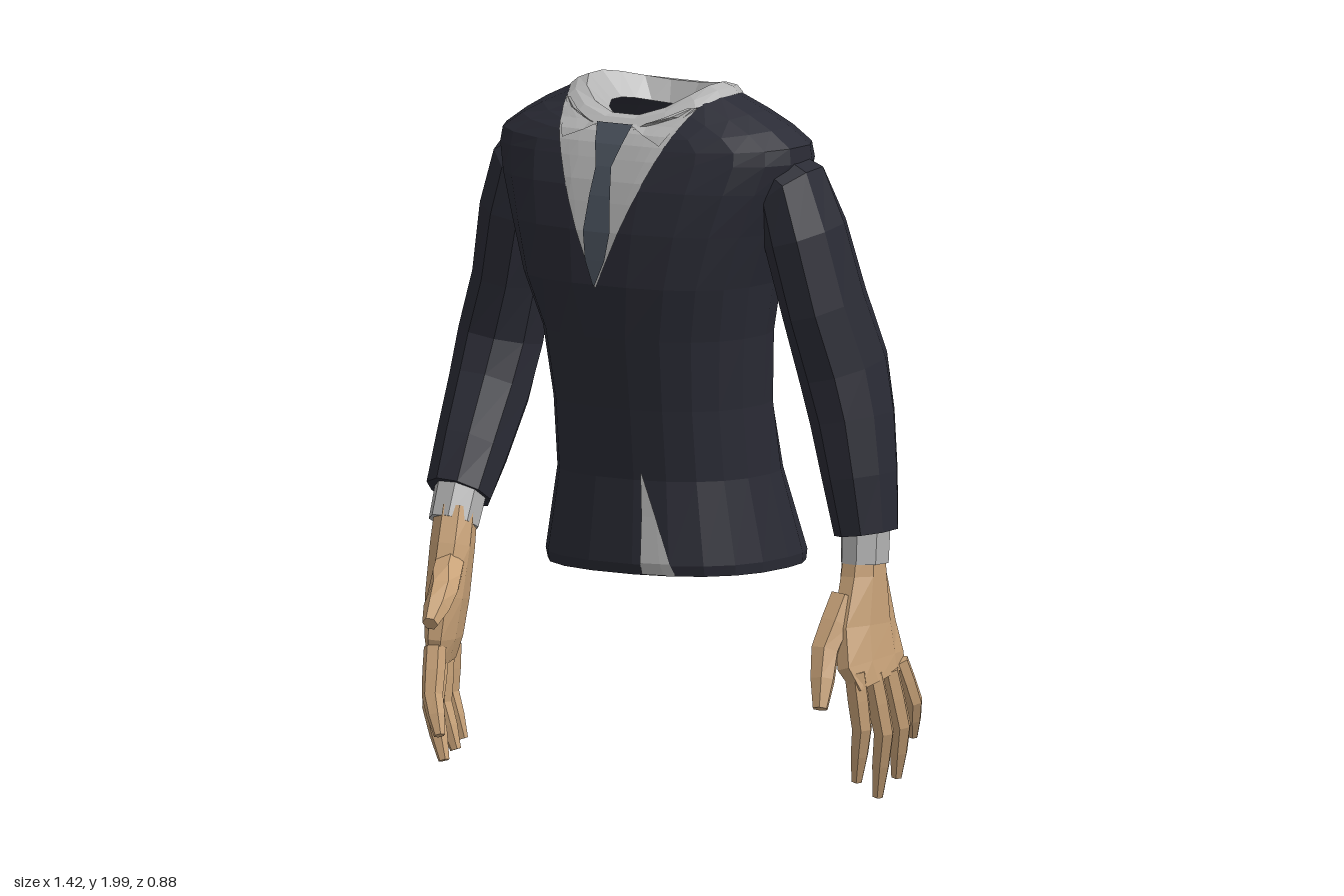
import * as THREE from 'three';

const V = (x, y, z) => new THREE.Vector3(x, y, z);
const mat = (name, color, side = THREE.FrontSide) =>
  Object.assign(new THREE.MeshStandardMaterial({ color, side }), { name });

// Faceted mesh from a list of triangle corners
function facets(name, material, corners) {
  const geometry = new THREE.BufferGeometry().setFromPoints(corners);
  geometry.computeVertexNormals();
  const mesh = new THREE.Mesh(geometry, material);
  mesh.name = name;
  return mesh;
}

// Skin closed rings of points, optionally closing both ends
function loft(name, material, rings, capped) {
  const out = [], n = rings[0].length;
  for (let i = 0; i < rings.length - 1; i++) {
    for (let j = 0; j < n; j++) {
      const k = (j + 1) % n, a = rings[i], b = rings[i + 1];
      out.push(a[j], a[k], b[k], a[j], b[k], b[j]);
    }
  }
  if (capped) {
    for (const [ring, flip] of [[rings[0], true], [rings[rings.length - 1], false]]) {
      const c = ring.reduce((s, p) => s.add(p), V(0, 0, 0)).divideScalar(n);
      ring.forEach((p, j) => {
        const q = ring[(j + 1) % n];
        out.push(c, flip ? q : p, flip ? p : q);
      });
    }
  }
  return facets(name, material, out);
}

// Limb along points [x, y, z, radius across, radius through]
function limb(name, material, pts, across, sides = 8) {
  const rings = pts.map((p, i) => {
    const a = pts[Math.max(i - 1, 0)], b = pts[Math.min(i + 1, pts.length - 1)];
    const t = V(b[0] - a[0], b[1] - a[1], b[2] - a[2]).normalize();
    const n = across.clone().addScaledVector(t, -across.dot(t)).normalize();
    const m = t.clone().cross(n);
    return Array.from({ length: sides }, (_, j) => {
      const w = ((j + 0.5) / sides) * Math.PI * 2;
      return V(p[0], p[1], p[2]).addScaledVector(n, Math.cos(w) * p[3]).addScaledVector(m, Math.sin(w) * p[4]);
    });
  });
  return loft(name, material, rings, true);
}

// Body ring: side height, half width, front z, back z, front dip, back dip, centre x, back skew
// The power squares off the front half, the back half stays round
function bodyRing([y, hw, zf, zb, dipF = 0, dipB = 0, cx = 0, skew = 0], sides, power) {
  return Array.from({ length: sides }, (_, j) => {
    const w = ((j + 0.5) / sides) * Math.PI * 2, c = Math.cos(w), s = -Math.sin(w);
    const front = s > 0, mid = (zf + zb) / 2;
    const soft = (v) => Math.sign(v) * Math.abs(v) ** (front ? power : 0.9);
    return V(cx + hw * soft(c) + (front ? 0 : skew * s * s),
      y - (front ? dipF : dipB) * s * s, mid + ((zf - zb) / 2) * soft(s));
  });
}

// Thin panel laid onto the front of other meshes, rows are [y, left x, right x]
function panel(name, material, targets, rows, lift, cols) {
  const ray = new THREE.Raycaster();
  const grid = rows.map(([y, x0, x1]) => Array.from({ length: cols + 1 }, (_, i) => {
    const x = x0 + ((x1 - x0) * i) / cols;
    ray.set(V(x, y, 2), V(0, 0, -1));
    const hit = ray.intersectObjects(targets)[0];
    return V(x, y, (hit && hit.point.z > -0.05 ? hit.point.z : 0.1) + lift);
  }));
  const out = [];
  for (let r = 0; r < grid.length - 1; r++) {
    for (let i = 0; i < cols; i++) {
      const a = grid[r], b = grid[r + 1];
      out.push(a[i], a[i + 1], b[i + 1], a[i], b[i + 1], b[i]);
    }
  }
  return facets(name, material, out);
}

export function createModel() {
  const model = new THREE.Group();
  model.name = 'suitedTorso';
  const jacket = mat('jacketNavy', 0x2a2b35, THREE.DoubleSide);
  const shirt = mat('shirtGrey', 0xb4b4b4, THREE.DoubleSide);
  const tie = mat('tieSlate', 0x4a525d, THREE.DoubleSide);
  const skin = mat('skinTan', 0xc9a379);

  // Jacket body, open at the neck
  const body = loft('jacketBody', jacket, [
    [0.635, 0.352, 0.165, -0.435, 0, 0, -0.01, 0.08],
    [0.665, 0.355, 0.175, -0.44, 0, 0, -0.01, 0.08],
    [0.9, 0.312, 0.16, -0.37, 0, 0, -0.005, 0.05],
    [1.1, 0.31, 0.185, -0.33, 0, 0, 0, 0.02],
    [1.3, 0.33, 0.215, -0.32],
    [1.45, 0.37, 0.23, -0.325, 0, 0, -0.01],
    [1.6, 0.42, 0.222, -0.335, 0, 0, -0.01],
    [1.72, 0.465, 0.2, -0.33, 0, 0, -0.01],
    [1.8, 0.49, 0.172, -0.315, 0, 0, -0.01],
    [1.845, 0.485, 0.16, -0.3, 0.015, 0, -0.01],
    [1.89, 0.42, 0.145, -0.285, 0.03, 0.01, -0.01],
    [1.93, 0.345, 0.13, -0.27, 0.055, 0.02, -0.015],
    [1.972, 0.25, 0.11, -0.25, 0.08, 0.03, -0.02],
  ].map((r) => bodyRing(r, 20, r[0] > 1.4 ? 0.75 : 0.85)), false);
  model.add(body);

  // Floor closing the hem, with the shirt tail showing
  const floor = bodyRing([0.66, 0.35, 0.17, -0.435, 0, 0, -0.01, 0.08], 20, 0.85);
  const centre = V(0, 0.66, -0.13);
  model.add(facets('hemFloor', jacket, floor.flatMap((p, j) => [centre, p, floor[(j + 1) % floor.length]])));
  for (const y of [0.665, 0.655]) {
    const q = [V(0.08, y, -0.05), V(0.02, y, 0.06), V(0.09, y, 0.15), V(0.18, y, 0.13), V(0.14, y, -0.03)];
    model.add(facets('shirtTail', shirt, [q[0], q[1], q[2], q[0], q[2], q[3], q[0], q[3], q[4]]));
  }

  // Collar folding over the neck opening
  const collar = loft('collar', shirt, [
    [1.972, 0.26, 0.14, -0.257, 0.09, 0.03, -0.02],
    [1.99, 0.24, 0.115, -0.243, 0.085, 0.02, -0.02],
    [2.002, 0.208, 0.085, -0.21, 0.09, 0.03, -0.02],
    [1.93, 0.14, 0.04, -0.18, 0.045, 0.02, -0.02],
  ].map((r) => bodyRing(r, 16, 0.95)), false);
  model.add(collar);

  // Shirt in the V of the jacket
  const vEdge = (y, s) => -0.02 + s * 0.235 * ((y - 1.44) / 0.53);
  const vRows = [1.44, 1.52, 1.6, 1.68, 1.74, 1.8, 1.84, 1.87, 1.89].map((y) => [y, vEdge(y, -1), vEdge(y, 1)]);
  const shirtFront = panel('shirtFront', shirt, [body], vRows, 0.005, 10);
  model.add(shirtFront);

  // Collar sides running up along the lapels, and collar points
  const layers = [body, shirtFront, collar];
  for (const s of [-1, 1]) {
    model.add(panel('collarSide', shirt, [body, collar],
      [[1.88, -0.02 + s * 0.06, vEdge(1.88, s)], [1.9, -0.02 + s * 0.1, vEdge(1.9, s)],
        [1.92, -0.02 + s * 0.15, vEdge(1.92, s)], [1.945, -0.02 + s * 0.2, vEdge(1.945, s)]], 0.006, 4));
    model.add(panel('collarPoint', shirt, layers,
      [[1.845, -0.02 + s * 0.165, -0.02 + s * 0.165], [1.87, -0.02 + s * 0.1, -0.02 + s * 0.18],
        [1.895, -0.02 + s * 0.05, -0.02 + s * 0.19]], 0.007, 3));
  }

  // Tie
  model.add(panel('tie', tie, layers,
    [[1.45, -0.022, -0.016], [1.52, -0.05, 0.015], [1.6, -0.06, 0.03], [1.7, -0.052, 0.018],
      [1.78, -0.046, 0.006], [1.84, -0.065, 0.025], [1.895, -0.08, 0.04]], 0.009, 4));

  // Front slit of the jacket
  model.add(panel('frontSlit', shirt, [body],
    [[0.637, 0.09, 0.185], [0.67, 0.09, 0.175], [0.8, 0.089, 0.13], [0.92, 0.084, 0.087]], 0.005, 3));

  // Sleeve, cuff and hand of one side
  function arm(side, sleevePts, cuffPts, palmPts, across, digits) {
    const g = new THREE.Group();
    g.name = side + 'Arm';
    g.add(limb('sleeve', jacket, sleevePts, V(1, 0, 0), 9));
    g.add(limb('cuff', shirt, cuffPts, V(1, 0, 0), 8));
    g.add(limb('palm', skin, palmPts, across, 8));
    digits.forEach(([a, b, c], i) => {
      const r = i === 0 ? 0.045 : i === 4 ? 0.028 : 0.032;
      const lerp = (p, q) => p.map((v, k) => (v + q[k]) / 2);
      const path = [[a, 1], [lerp(a, b), 1.02], [b, 0.95], [lerp(b, c), 0.82], [c, 0.5]];
      g.add(limb(i === 0 ? 'thumb' : 'finger', skin,
        path.map(([p, k]) => [...p, r * k, r * k]), across, 6));
    });
    model.add(g);
  }

  arm('left',
    [[0.36, 1.76, -0.07, 0.09, 0.1], [0.435, 1.725, -0.07, 0.11, 0.12], [0.475, 1.6, -0.085, 0.11, 0.14],
      [0.515, 1.4, -0.12, 0.11, 0.145], [0.545, 1.22, -0.17, 0.118, 0.15], [0.57, 1.08, -0.18, 0.112, 0.14],
      [0.595, 0.92, -0.18, 0.1, 0.125], [0.613, 0.76, -0.185, 0.085, 0.105]],
    [[0.61, 0.8, -0.185, 0.066, 0.085], [0.607, 0.675, -0.182, 0.064, 0.083]],
    [[0.607, 0.72, -0.18, 0.072, 0.055], [0.605, 0.64, -0.18, 0.085, 0.06], [0.61, 0.5, -0.175, 0.13, 0.06],
      [0.632, 0.4, -0.175, 0.148, 0.05], [0.655, 0.345, -0.185, 0.13, 0.034]],
    V(0, 0, 1),
    [[[0.59, 0.58, -0.11], [0.578, 0.44, -0.03], [0.6, 0.285, 0.025]],
      [[0.645, 0.38, -0.08], [0.655, 0.22, -0.1], [0.62, 0.065, -0.125]],
      [[0.655, 0.37, -0.15], [0.67, 0.2, -0.185], [0.625, 0.012, -0.22]],
      [[0.66, 0.37, -0.22], [0.675, 0.21, -0.26], [0.64, 0.06, -0.29]],
      [[0.655, 0.39, -0.28], [0.67, 0.27, -0.33], [0.64, 0.165, -0.37]]]);

  arm('right',
    [[-0.38, 1.76, -0.08, 0.09, 0.1], [-0.455, 1.725, -0.08, 0.11, 0.12], [-0.495, 1.6, -0.1, 0.115, 0.135],
      [-0.545, 1.4, -0.13, 0.108, 0.14], [-0.595, 1.22, -0.14, 0.115, 0.14], [-0.6, 1.08, -0.09, 0.11, 0.135],
      [-0.597, 0.92, 0, 0.1, 0.12], [-0.595, 0.8, 0.07, 0.092, 0.1]],
    [[-0.59, 0.83, 0.06, 0.074, 0.08], [-0.585, 0.72, 0.11, 0.07, 0.078]],
    [[-0.583, 0.76, 0.1, 0.068, 0.06], [-0.575, 0.66, 0.13, 0.085, 0.062], [-0.575, 0.52, 0.155, 0.12, 0.058],
      [-0.58, 0.41, 0.165, 0.127, 0.048], [-0.587, 0.345, 0.165, 0.108, 0.034]],
    V(0.4, 0, 1).normalize(),
    [[[-0.545, 0.61, 0.19], [-0.475, 0.56, 0.32], [-0.445, 0.485, 0.425]],
      [[-0.55, 0.39, 0.25], [-0.53, 0.26, 0.292], [-0.485, 0.155, 0.322]],
      [[-0.575, 0.37, 0.2], [-0.565, 0.22, 0.24], [-0.515, 0.075, 0.257]],
      [[-0.595, 0.37, 0.145], [-0.595, 0.22, 0.155], [-0.55, 0.09, 0.15]],
      [[-0.605, 0.38, 0.09], [-0.615, 0.24, 0.085], [-0.575, 0.11, 0.077]]]);

  return model;
}
